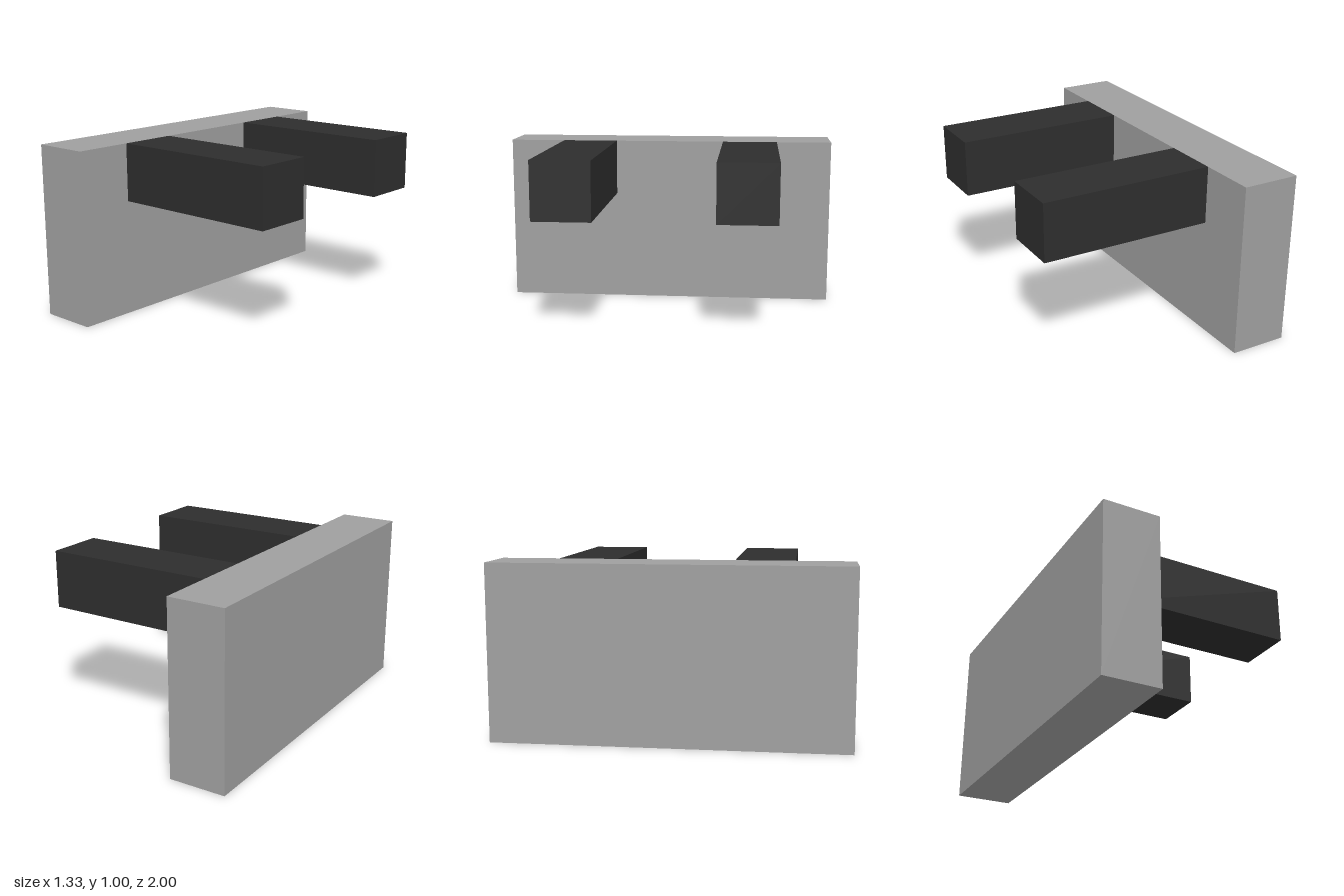
import * as THREE from 'three';

export function createModel() {
  const group = new THREE.Group();
  group.name = 'forkAttachment';

  const plateGrey = new THREE.MeshStandardMaterial({ color: 0x9f9f9f });
  plateGrey.name = 'plateGrey';
  const prongBlack = new THREE.MeshStandardMaterial({ color: 0x2d2d2d });
  prongBlack.name = 'prongBlack';

  const unit = 1 / 3;

  const addBox = (name, material, size, position) => {
    const mesh = new THREE.Mesh(new THREE.BoxGeometry(...size), material);
    mesh.name = name;
    mesh.position.set(...position);
    group.add(mesh);
  };

  // Upright plate
  addBox('plate', plateGrey, [unit, 1, 2], [-1.5 * unit, 0.5, 0]);

  // Two square prongs, flush with the top of the plate
  for (const [name, side] of [['frontProng', 1], ['backProng', -1]]) {
    addBox(name, prongBlack, [3 * unit, unit, unit], [0.5 * unit, 2.5 * unit, side * 0.5]);
  }

  return group;
}
